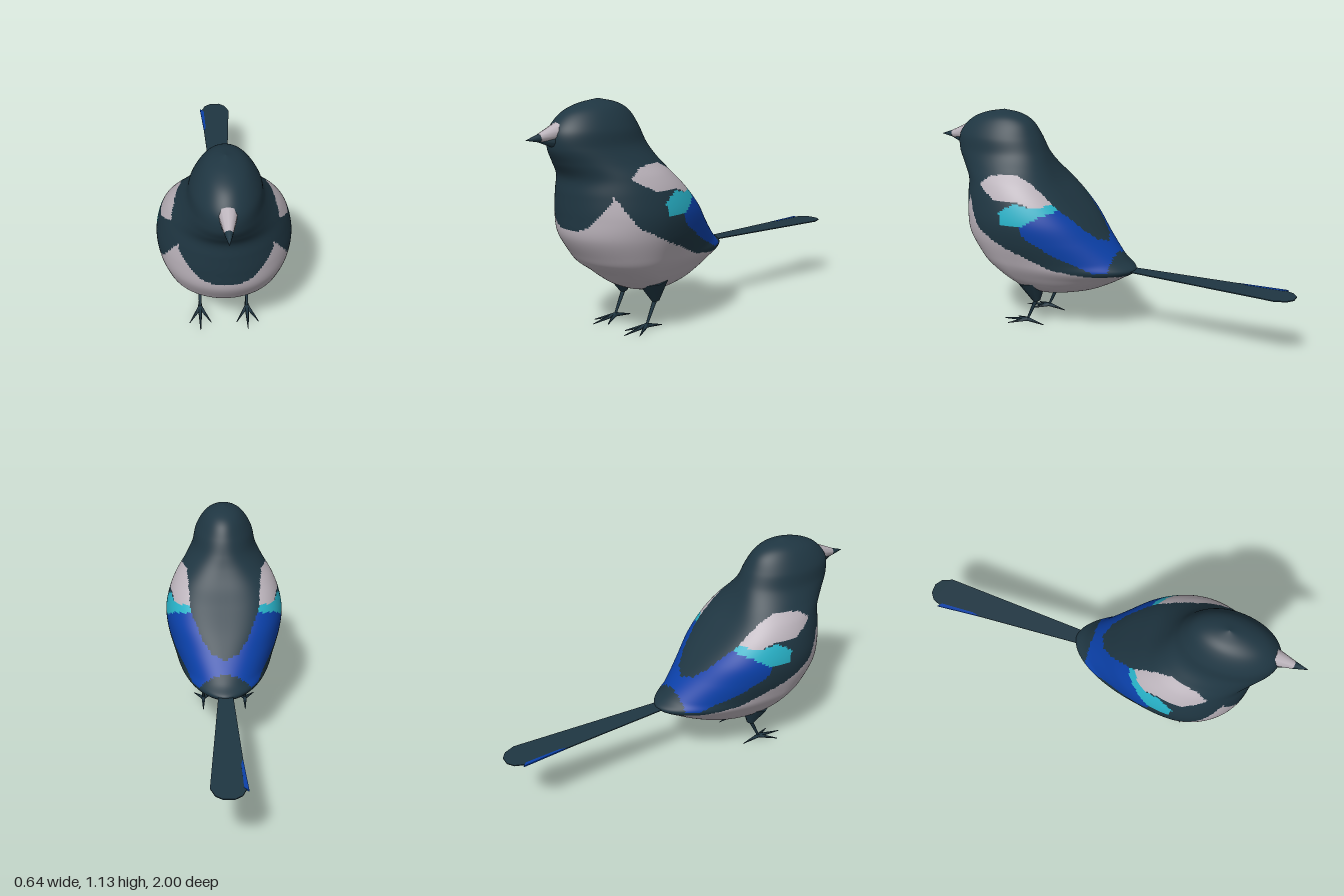
import * as THREE from 'three';

const mat = (name, color) => new THREE.MeshStandardMaterial({ name, color, side: THREE.DoubleSide });

// Is point (px, py) inside a polygon of [x, y] corners?
function inside(poly, px, py) {
  let hit = false;
  for (let i = 0, j = poly.length - 1; i < poly.length; j = i++) {
    const [ax, ay] = poly[i], [bx, by] = poly[j];
    if ((ay > py) !== (by > py) && px < ((bx - ax) * (py - ay)) / (by - ay) + ax) hit = !hit;
  }
  return hit;
}

// Piecewise linear lookup in [x, y] points with rising x
function lerpTable(table, x) {
  if (x <= table[0][0]) return table[0][1];
  for (let i = 1; i < table.length; i++) {
    const [ax, ay] = table[i - 1], [bx, by] = table[i];
    if (x <= bx) return ay + ((by - ay) * (x - ax)) / (bx - ax);
  }
  return table[table.length - 1][1];
}

// Plumage areas in side profile, as [z, y]
const shoulder = [[0.61, 0.78], [0.55, 0.83], [0.42, 0.84], [0.3, 0.8], [0.22, 0.73], [0.2, 0.7], [0.3, 0.69], [0.38, 0.72], [0.5, 0.72], [0.56, 0.75]];
const covert = [[0.46, 0.66], [0.42, 0.69], [0.38, 0.71], [0.3, 0.69], [0.2, 0.72], [0.19, 0.67], [0.25, 0.65], [0.33, 0.6], [0.45, 0.6]];
const flight = [[0.35, 0.6], [0.28, 0.65], [0.2, 0.67], [0.16, 0.8], [-0.05, 0.62], [-0.09, 0.36], [0, 0.36], [0.2, 0.46], [0.32, 0.54]];
const wingEdge = [[-0.16, 0.33], [0, 0.335], [0.2, 0.37], [0.4, 0.46], [0.6, 0.56], [0.64, 0.62], [0.69, 0.71]];
// Half width of the dark back along z
const mantle = [[-0.01, 0], [0.02, 0.07], [0.08, 0.12], [0.2, 0.18], [0.4, 0.2], [0.5, 0.195], [0.62, 0.17]];

// 0 dark, 1 pale, 2 teal, 3 blue
function plumage(x, y, z) {
  const ax = Math.abs(x);
  const paleTop = z > 0.69 ? 0.54 + 15 * ax ** 3 : lerpTable(wingEdge, z);
  if (y < Math.min(paleTop, 0.72)) return 1;
  if (z < -0.065 || ax < lerpTable(mantle, z)) return 0;
  if (inside(shoulder, z, y)) return 1;
  if (inside(covert, z, y)) return 2;
  return inside(flight, z, y) ? 3 : 0;
}

// Horizontal sections: [y, front z, back z, half width, z of widest point, back taper (low is square)]
const sections = [
  [0.175, 0.3, 0.3, 0, 0.3, 1.1], [0.19, 0.42, 0.2, 0.1, 0.31, 1.1], [0.22, 0.5, 0.07, 0.16, 0.36, 1.1],
  [0.26, 0.56, -0.02, 0.2, 0.4, 1.1], [0.3, 0.61, -0.09, 0.23, 0.43, 1.1], [0.35, 0.68, -0.16, 0.26, 0.44, 1.1],
  [0.4, 0.72, -0.1, 0.28, 0.45, 1.05], [0.5, 0.78, 0, 0.31, 0.45, 0.9], [0.6, 0.79, 0.09, 0.32, 0.45, 0.75],
  [0.7, 0.79, 0.19, 0.3, 0.46, 0.65], [0.78, 0.79, 0.27, 0.265, 0.49, 0.65], [0.85, 0.83, 0.32, 0.215, 0.54, 0.75],
  [0.92, 0.865, 0.355, 0.175, 0.59, 0.9], [1.0, 0.86, 0.39, 0.155, 0.61, 1], [1.07, 0.8, 0.435, 0.115, 0.61, 1],
  [1.11, 0.715, 0.5, 0.07, 0.6, 1], [1.133, 0.6, 0.6, 0, 0.6, 1],
];

// Head and body lofted through the sections, sorted into colour groups
function bodyGeometry() {
  const rows = 160, cols = 192;
  const curve = (f) => new THREE.CatmullRomCurve3(sections.map(f), false, 'catmullrom', 0.5);
  const ends = curve((s) => new THREE.Vector3(s[0], s[1], s[2]));
  const sides = curve((s) => new THREE.Vector3(s[3], s[4], s[5]));
  const pos = [];
  for (let j = 0; j <= rows; j++) {
    const { x: y, y: front, z: back } = ends.getPoint(j / rows);
    const { x: w, y: mid, z: taper } = sides.getPoint(j / rows);
    for (let i = 0; i < cols; i++) {
      const a = (i / cols) * Math.PI * 2, c = Math.cos(a), s = Math.sin(a);
      const cx = s < 0 ? Math.sign(c) * Math.abs(c) ** taper : c;
      pos.push(Math.max(w, 0) * cx, y, mid + s * (s > 0 ? front - mid : mid - back));
    }
  }
  const groups = [[], [], [], []];
  for (let j = 0; j < rows; j++) {
    for (let i = 0; i < cols; i++) {
      const a = j * cols + i, b = j * cols + ((i + 1) % cols);
      const mean = (k) => (pos[a * 3 + k] + pos[(b + cols) * 3 + k]) / 2;
      groups[plumage(mean(0), mean(1), mean(2))].push(a, a + cols, b, b, a + cols, b + cols);
    }
  }
  const geo = new THREE.BufferGeometry();
  geo.setAttribute('position', new THREE.Float32BufferAttribute(pos, 3));
  geo.setIndex(groups.flat());
  let start = 0;
  groups.forEach((g, k) => { geo.addGroup(start, g.length, k); start += g.length; });
  geo.computeVertexNormals();
  return geo;
}

// Thin flat plate from [x, z] corners, lying level
function plate(points, thickness) {
  const shape = new THREE.Shape(points.map(([x, z]) => new THREE.Vector2(x, -z)));
  return new THREE.ExtrudeGeometry(shape, { depth: thickness, bevelEnabled: false }).rotateX(-Math.PI / 2);
}

// Tapered rod between two points
function rod(from, to, r0, r1, sides, material, name) {
  const a = new THREE.Vector3(...from), b = new THREE.Vector3(...to), d = b.clone().sub(a);
  const mesh = new THREE.Mesh(new THREE.CylinderGeometry(r1, r0, d.length(), sides), material);
  mesh.position.copy(a).lerp(b, 0.5);
  mesh.quaternion.setFromUnitVectors(new THREE.Vector3(0, 1, 0), d.normalize());
  mesh.name = name;
  return mesh;
}

export function createModel() {
  const model = new THREE.Group();
  model.name = 'bird';
  const dark = mat('darkPlumage', 0x1f3642);
  const pale = mat('palePlumage', 0xbbb3bb);
  const teal = mat('tealPlumage', 0x27b0c6);
  const blue = mat('bluePlumage', 0x0b40a8);

  const body = new THREE.Mesh(bodyGeometry(), [dark, pale, teal, blue]);
  body.name = 'body';
  model.add(body);

  // Beak: pale upper base, dark tip and dark lower half
  const beak = new THREE.Group();
  beak.name = 'beak';
  beak.add(rod([0, 0.995, 0.83], [0, 0.975, 0.93], 0.045, 0.02, 10, pale, 'upperBeak'));
  beak.add(rod([0, 0.975, 0.93], [0, 0.97, 1.0], 0.02, 0.001, 10, dark, 'beakTip'));
  beak.add(rod([0, 0.955, 0.82], [0, 0.962, 0.93], 0.045, 0.008, 10, dark, 'lowerBeak'));
  model.add(beak);

  // Long flat tail with a blue strip on one edge
  const tail = new THREE.Group();
  tail.name = 'tail';
  const tailPlate = new THREE.Mesh(plate([[-0.035, -0.08], [0.035, -0.08], [0.083, -0.92], [0.06, -0.975], [0.025, -1], [-0.025, -1], [-0.06, -0.975], [-0.083, -0.92]], 0.005), dark);
  tailPlate.name = 'tailFeathers';
  const strip = new THREE.Mesh(plate([[-0.07, -0.7], [-0.06, -0.74], [-0.068, -0.92], [-0.09, -0.94]], 0.007), blue);
  strip.position.y = -0.001;
  strip.name = 'tailEdge';
  tail.add(tailPlate, strip);
  tail.position.y = 0.35;
  tail.rotation.x = -0.018;
  model.add(tail);

  // Legs and feet
  for (const side of [1, -1]) {
    const x = side * 0.12;
    const leg = new THREE.Group();
    leg.name = side > 0 ? 'leftLeg' : 'rightLeg';
    leg.add(rod([side * 0.125, 0.25, 0.38], [x, 0.14, 0.36], 0.078, 0.02, 8, dark, 'thigh'));
    leg.add(rod([x, 0.15, 0.36], [x, 0.025, 0.42], 0.012, 0.006, 6, dark, 'shank'));
    for (const [dx, z] of [[0, 0.56], [0.055, 0.51], [-0.055, 0.51], [0, 0.32]]) {
      leg.add(rod([x, 0.025, 0.42], [x + dx, 0.006, z], 0.012, 0.002, 5, dark, 'toe'));
    }
    model.add(leg);
  }
  return model;
}
